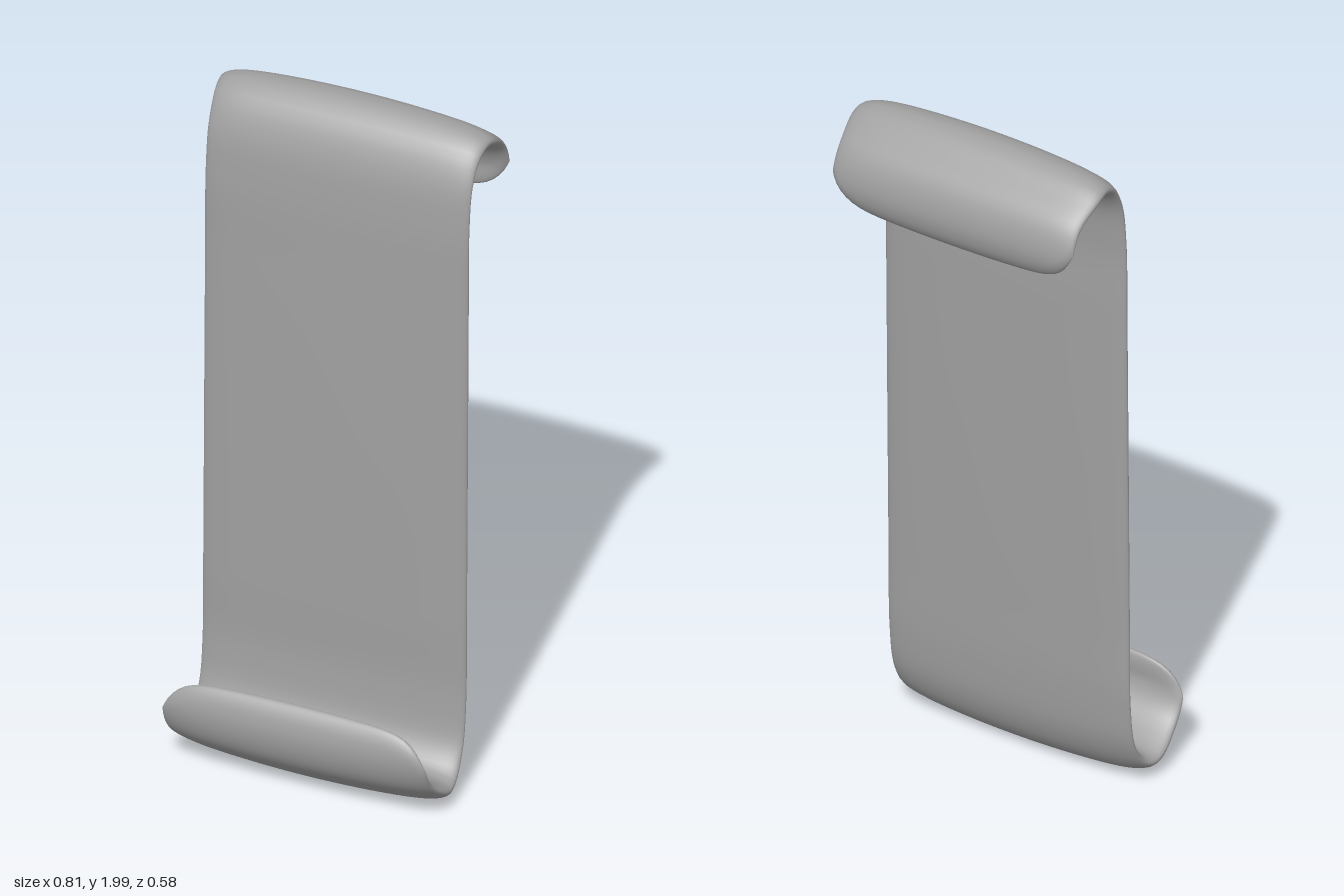
import * as THREE from 'three';

// Half of the S-shaped centre line, from the lower tip upwards: [z, y, half thickness]
const HALF = [
  [0.25, 0.288, 0.02], [0.262, 0.2, 0.028], [0.236, 0.13, 0.036], [0.18, 0.08, 0.04],
  [0.12, 0.052, 0.05], [0.074, 0.07, 0.043], [0.03, 0.14, 0.033], [0.01, 0.27, 0.03],
  [0.006, 0.5, 0.033],
];

// Full centre line: the upper hook is the lower one turned half a revolution about x
function centreLine() {
  const upper = HALF.map(([z, y, h]) => [-z, 2 - y, h]).reverse();
  const pts = [...HALF, [0, 1, 0.035], ...upper].map(([z, y, h]) => new THREE.Vector3(h, y, z));
  const curve = new THREE.CatmullRomCurve3(pts, false, 'centripetal');
  curve.arcLengthDivisions = 600;
  return curve;
}

// Half width of the strap: slightly flared at the two bends
function halfWidth(e) {
  const d = (e - 0.1) / 0.04;
  return 0.393 + 0.012 * Math.exp(-d * d);
}

// Sweep a cushion-like cross-section along the centre line
function strapGeometry(rows = 140, cols = 64) {
  const curve = centreLine();
  const pos = [], index = [];
  for (let i = 0; i <= rows; i++) {
    const t = 0.5 - 0.5 * Math.cos(Math.PI * i / rows);
    const e = Math.min(t, 1 - t);
    const k = Math.min(1, e / 0.02);
    const cap = Math.sqrt(Math.max(0, 1 - (1 - k) ** 2)); // rounded tips
    const w = halfWidth(e);
    for (let j = 0; j < cols; j++) {
      const a = j / cols * Math.PI * 2;
      const u = Math.cos(a);
      // tip corners are rounded by pulling the outer columns back along the path
      const trim = (0.006 * u * u + 0.035 * u ** 10) * Math.max(0, 1 - e / 0.12);
      const s = THREE.MathUtils.clamp(t < 0.5 ? t + trim : t - trim, 0, 1);
      const p = curve.getPointAt(s), d = curve.getTangentAt(s);
      const len = Math.hypot(d.y, d.z);
      const v = Math.sign(Math.round(Math.sin(a) * 1e6)) * p.x * cap
        * (1 - 0.45 * u * u) * Math.sqrt(Math.max(0, 1 - u ** 10));
      pos.push(u * w, p.y - v * d.z / len, p.z + v * d.y / len);
    }
  }
  for (let i = 0; i < rows; i++) {
    for (let j = 0; j < cols; j++) {
      const n = (j + 1) % cols;
      const p = i * cols + j, q = p + cols, r = (i + 1) * cols + n, o = i * cols + n;
      index.push(p, q, r, p, r, o);
    }
  }
  const g = new THREE.BufferGeometry();
  g.setAttribute('position', new THREE.Float32BufferAttribute(pos, 3));
  g.setIndex(index);
  g.computeVertexNormals();
  return g;
}

export function createModel() {
  const grey = new THREE.MeshStandardMaterial({ color: 0xa0a0a0 });
  grey.name = 'grey';
  const strap = new THREE.Mesh(strapGeometry(), grey);
  strap.name = 'doubleHookStrap';
  const model = new THREE.Group();
  model.name = 'doubleHook';
  model.add(strap);
  return model;
}
